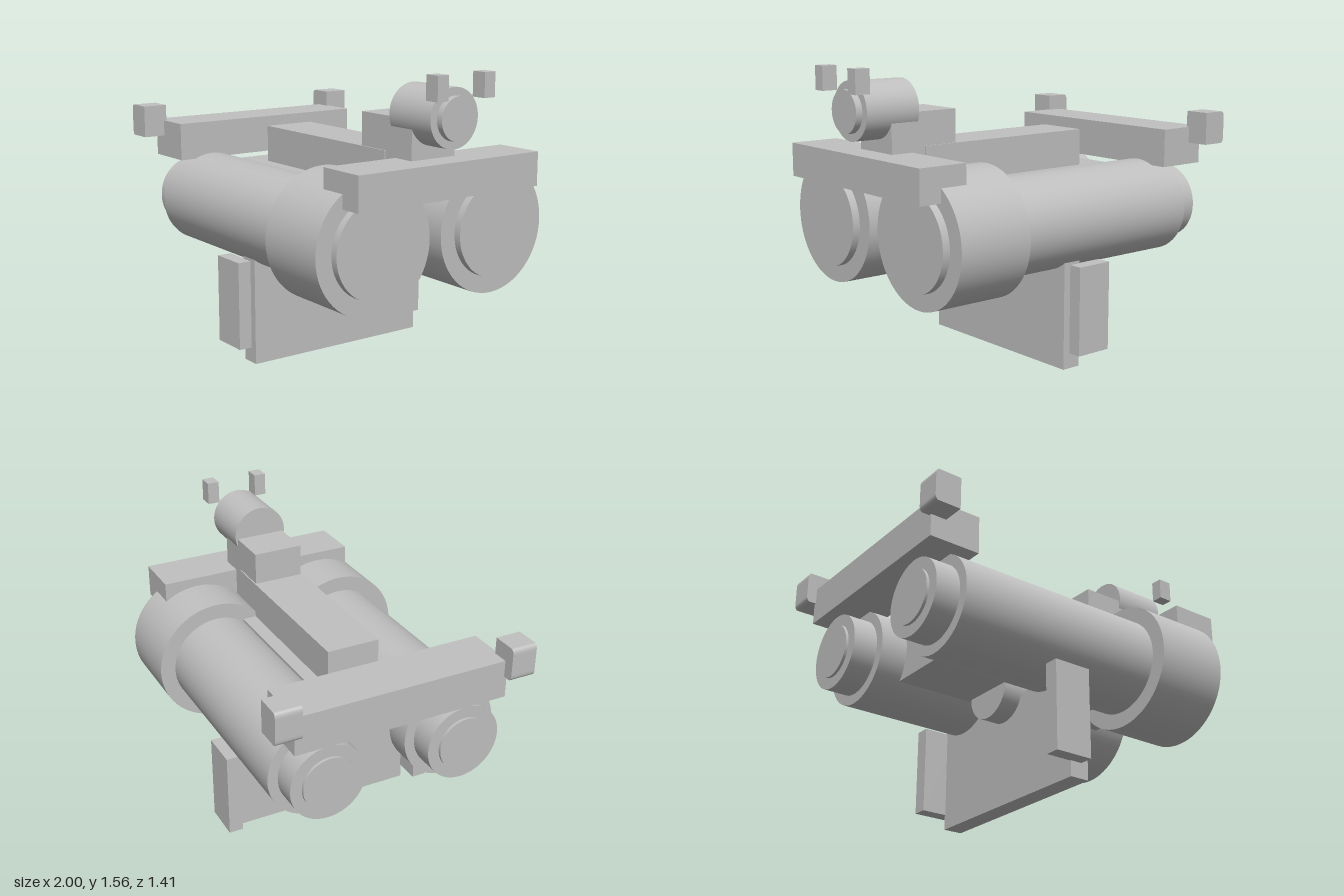
import * as THREE from 'three';

const grey = new THREE.MeshStandardMaterial({ color: 0xc0c0c0 });
grey.name = 'light grey';

function add(parent, name, geometry) {
  const mesh = new THREE.Mesh(geometry, grey);
  mesh.name = name;
  parent.add(mesh);
  return mesh;
}

// Box given by its extents on each axis
function box(parent, name, [x0, x1], [y0, y1], [z0, z1]) {
  const mesh = add(parent, name, new THREE.BoxGeometry(x1 - x0, y1 - y0, z1 - z0));
  mesh.position.set((x0 + x1) / 2, (y0 + y1) / 2, (z0 + z1) / 2);
  return mesh;
}

// Cylinder lying along x
function tube(parent, name, x0, x1, r, y, z) {
  const geometry = new THREE.CylinderGeometry(r, r, x1 - x0, 64).rotateZ(-Math.PI / 2);
  const mesh = add(parent, name, geometry);
  mesh.position.set((x0 + x1) / 2, y, z);
  return mesh;
}

export function createModel() {
  const model = new THREE.Group();
  model.name = 'twinTubeViewer';

  // Rear knob profile with softened back corners
  const knob = new THREE.Shape();
  knob.moveTo(-0.86, 1.1);
  knob.lineTo(-0.86, 1.27);
  knob.lineTo(-0.985, 1.27);
  knob.quadraticCurveTo(-1, 1.265, -1, 1.24);
  knob.lineTo(-1, 1.13);
  knob.quadraticCurveTo(-1, 1.105, -0.985, 1.1);
  knob.closePath();
  const knobGeometry = new THREE.ExtrudeGeometry(knob, { depth: 0.134, bevelEnabled: false, curveSegments: 6 });

  for (const side of [-1, 1]) {
    const name = side > 0 ? 'front' : 'back';
    const barrel = new THREE.Group();
    barrel.name = name + 'Barrel';
    model.add(barrel);

    // Stepped barrel: eyepiece, main tube, objective housing and lens
    const z = side * 0.37;
    tube(barrel, 'eyeLens', -0.92, -0.89, 0.14, 0.756, z);
    tube(barrel, 'eyepiece', -0.905, -0.76, 0.2, 0.756, z);
    tube(barrel, 'mainTube', -0.775, 0.4, 0.253, 0.756, z);
    tube(barrel, 'objectiveHousing', 0.39, 0.8, 0.335, 0.756, z);
    tube(barrel, 'objectiveLens', 0.79, 0.84, 0.247, 0.756, z);

    // Mirrored small parts
    const span = (a, b) => (side > 0 ? [a, b] : [-b, -a]);
    box(model, name + 'SideGrip', [-0.235, -0.03], [0.08, 0.545], span(0.525, 0.602));
    box(model, name + 'SightPost', [0.92, 1], [1.44, 1.56], span(0.11, 0.175));
    add(model, name + 'RearKnob', knobGeometry).position.z = side > 0 ? 0.55 : -0.684;
  }

  // Bridge between the barrels
  box(model, 'bridge', [-0.63, 0.6], [0.595, 0.97], [-0.215, 0.215]);
  box(model, 'topRail', [-0.455, 0.58], [0.95, 1.165], [-0.141, 0.141]);
  tube(model, 'pivot', -0.2, 0.06, 0.15, 0.595, 0);

  // Cross bars
  box(model, 'frontCrossBar', [0.655, 0.92], [0.965, 1.138], [-0.555, 0.555]);
  box(model, 'rearCrossBar', [-0.945, -0.67], [0.985, 1.185], [-0.565, 0.565]);

  // Small sighting scope on its mount
  box(model, 'scopeMount', [0.39, 0.775], [0.96, 1.335], [-0.134, 0.134]);
  tube(model, 'scopeBody', 0.62, 0.92, 0.146, 1.346, 0);
  tube(model, 'scopeLens', 0.91, 0.955, 0.107, 1.346, 0);

  // Upright stand plate
  box(model, 'standPlate', [-0.095, 0.01], [0, 0.56], [-0.53, 0.53]);

  return model;
}
